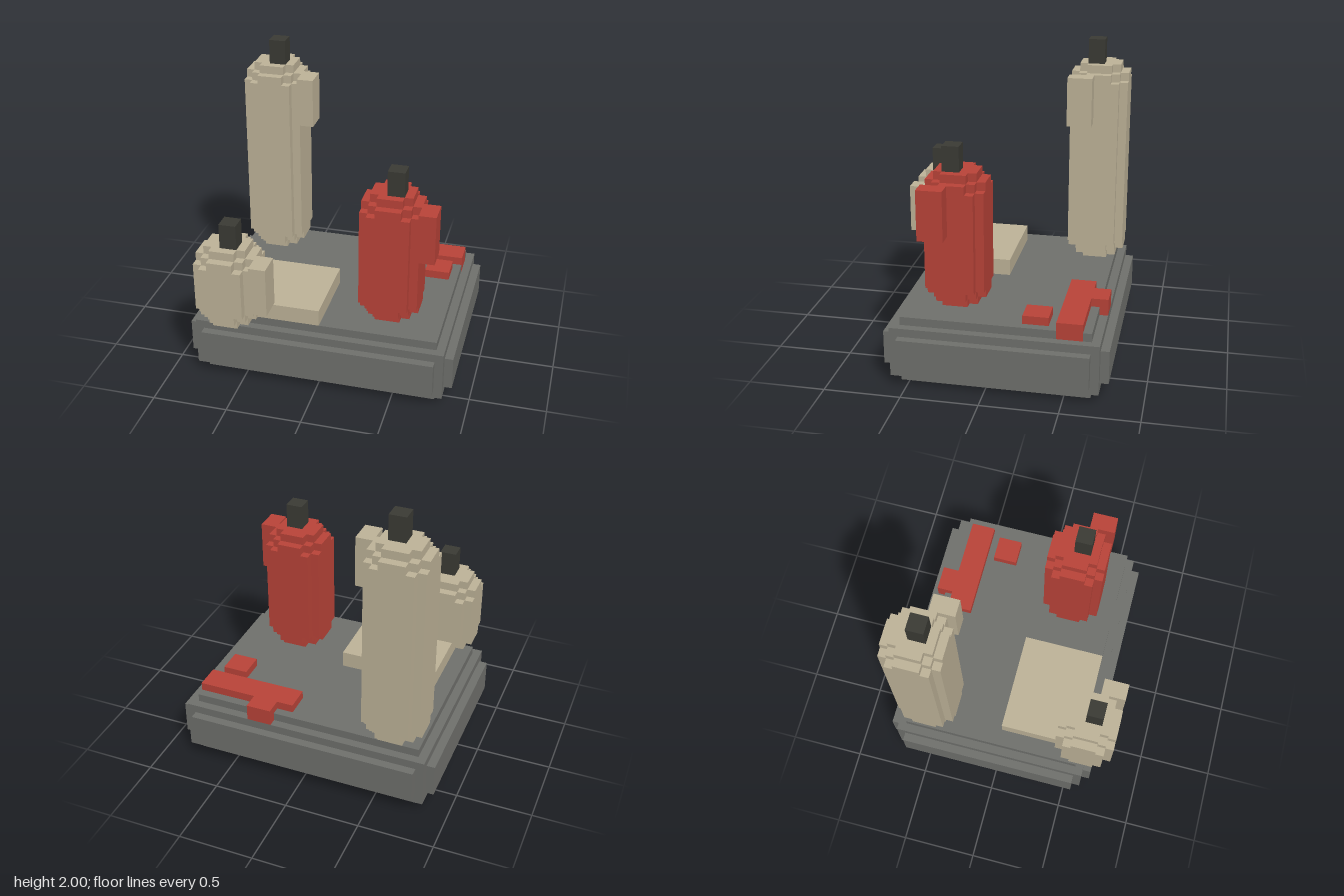
import * as THREE from 'three';

const V = 1 / 18; // one block

function material(name, color) {
  const m = new THREE.MeshStandardMaterial({ color });
  m.name = name;
  return m;
}

export function createModel() {
  const stone = material('grey stone', 0x70716d);
  const wax = material('cream wax', 0xbfb499);
  const redWax = material('red wax', 0xbb4439);
  const char = material('charred wick', 0x3b3b35);

  const model = new THREE.Group();
  model.name = 'candleStand';

  // Box between two corners, given in blocks
  function box(parent, name, mat, [x0, y0, z0], [x1, y1, z1]) {
    const g = new THREE.BoxGeometry((x1 - x0) * V, (y1 - y0) * V, (z1 - z0) * V);
    const mesh = new THREE.Mesh(g, mat);
    mesh.name = name;
    mesh.position.set((x0 + x1) / 2 * V, (y0 + y1) / 2 * V, (z0 + z1) / 2 * V);
    parent.add(mesh);
  }

  // Upright prism whose stepped corner is repeated four times around the axis
  function steppedPrism(parent, name, mat, corner, y0, y1) {
    const pts = [];
    let quarter = corner;
    for (let i = 0; i < 4; i++) {
      quarter.forEach(([x, y]) => pts.push(new THREE.Vector2(x * V, y * V)));
      quarter = quarter.map(([x, y]) => [-y, x]);
    }
    const g = new THREE.ExtrudeGeometry(new THREE.Shape(pts), { depth: (y1 - y0) * V, bevelEnabled: false });
    g.rotateX(-Math.PI / 2);
    const mesh = new THREE.Mesh(g, mat);
    mesh.name = name;
    mesh.position.y = y0 * V;
    parent.add(mesh);
  }

  const bodyCorner = [[3.5, 2.5], [2.5, 2.5], [2.5, 3.5]];
  const shoulderCorner = [[3.5, 1.5], [2.5, 1.5], [2.5, 2.5], [1.5, 2.5], [1.5, 3.5]];
  const capCorner = [[2.5, 1.5], [1.5, 1.5], [1.5, 2.5]];

  // Candle with rounded ends, a wick and a side drip
  function candle(name, mat, x, z, height) {
    const c = new THREE.Group();
    c.name = name;
    c.position.set(x * V, 8 * V, z * V);
    steppedPrism(c, 'foot', mat, capCorner, 0, 1);
    steppedPrism(c, 'lowerShoulder', mat, shoulderCorner, 1, 2);
    steppedPrism(c, 'body', mat, bodyCorner, 2, height - 2);
    steppedPrism(c, 'upperShoulder', mat, shoulderCorner, height - 2, height - 1);
    steppedPrism(c, 'cap', mat, capCorner, height - 1, height);
    box(c, 'wick', char, [-0.5, height, -0.5], [1.5, height + 3, 1.5]);
    box(c, 'drip', mat, [3.5, height - 7, 0.5], [5.5, height - 1, 3.5]);
    model.add(c);
  }

  // Base: core, ledge and raised panels on all four sides
  const base = new THREE.Group();
  base.name = 'base';
  model.add(base);
  box(base, 'core', stone, [-14, 0, -12], [14, 8, 10]);
  box(base, 'ledge', stone, [-15, 1, -13], [15, 7, 11]);
  box(base, 'frontPanel', stone, [-14, 2, 11], [14, 6, 12]);
  box(base, 'backPanel', stone, [-14, 2, -14], [14, 6, -13]);
  box(base, 'leftPanel', stone, [15, 2, -12], [16, 6, 10]);
  box(base, 'rightPanel', stone, [-16, 2, -12], [-15, 6, 10]);

  // Candles
  candle('tallCandle', wax, -10.5, -9.5, 25);
  candle('shortCandle', wax, -10.5, 10.5, 10);
  candle('redCandle', redWax, 7.5, 4.5, 16);

  // Spilled wax
  box(model, 'waxPool', wax, [-12, 8, 0], [0, 10, 10]);
  box(model, 'redSpill', redWax, [2, 7, -11], [14.03, 9, -8]);
  box(model, 'redSpillOverEdge', redWax, [4, 7, -13], [7, 9, -11]);
  box(model, 'redDrop', redWax, [10, 8, -7], [13, 9, -4]);

  return model;
}
